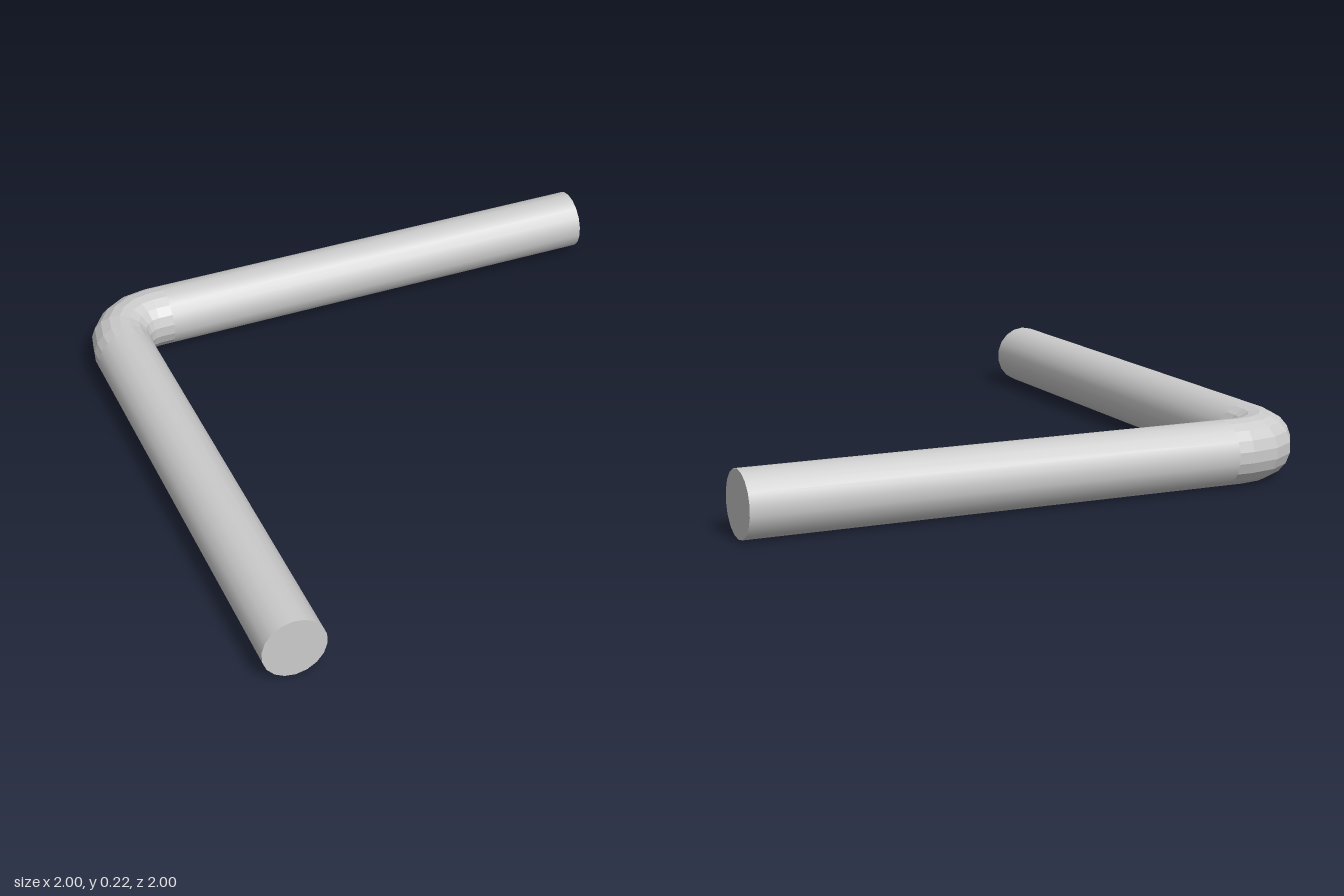
import * as THREE from 'three';

const SIDES = 18, RADIUS = 0.1085, AXIS = -0.893, BEND = 0.16;

// A ring station on the bar: centre x, z and heading angle (0 = along -z, PI/2 = along +x)
const station = (x, z, a) => ({ x, z, a });

// Skin a tube through a list of stations
function skin(stations) {
  const pos = [], index = [], n = SIDES + 1;
  for (const { x, z, a } of stations) {
    for (let i = 0; i <= SIDES; i++) {
      const t = (i / SIDES) * Math.PI * 2;
      const out = RADIUS * Math.sin(t);
      pos.push(x + out * Math.cos(a), RADIUS * (1 + Math.cos(t)), z + out * Math.sin(a));
    }
  }
  for (let r = 0; r < stations.length - 1; r++) {
    for (let i = 0; i < SIDES; i++) {
      const p = r * n + i, q = p + n;
      index.push(p, p + 1, q, p + 1, q + 1, q);
    }
  }
  const g = new THREE.BufferGeometry();
  g.setAttribute('position', new THREE.Float32BufferAttribute(pos, 3));
  g.setIndex(index);
  g.computeVertexNormals();
  return g;
}

// Straight bar lying along z, with a vertex at top and bottom
function straightBar(length) {
  const g = new THREE.CylinderGeometry(RADIUS, RADIUS, length, SIDES);
  g.rotateX(Math.PI / 2);
  return g;
}

export function createModel() {
  const group = new THREE.Group();
  const smooth = new THREE.MeshStandardMaterial({ color: 0xcccccc });
  const faceted = new THREE.MeshStandardMaterial({ color: 0xcccccc, flatShading: true, side: THREE.DoubleSide });
  const add = (name, geometry, material) => {
    const mesh = new THREE.Mesh(geometry, material);
    mesh.name = name;
    group.add(mesh);
    return mesh;
  };

  // Two equal straight arms with closed ends
  const start = -0.68, length = 1 - start, mid = (1 + start) / 2;
  add('frontArm', straightBar(length), smooth).position.set(AXIS, RADIUS, mid);
  const side = add('sideArm', straightBar(length), smooth);
  side.rotation.y = Math.PI / 2;
  side.position.set(mid, RADIUS, AXIS);

  // Corner bend in four steps, with a short straight lead at each end
  const c = AXIS + BEND;
  const stations = [station(AXIS, start, 0)];
  for (let i = 0; i <= 4; i++) {
    const a = (i / 4) * Math.PI / 2;
    stations.push(station(c - BEND * Math.cos(a), c - BEND * Math.sin(a), a));
  }
  stations.push(station(start, AXIS, Math.PI / 2));
  add('cornerBend', skin(stations), faceted);
  return group;
}
